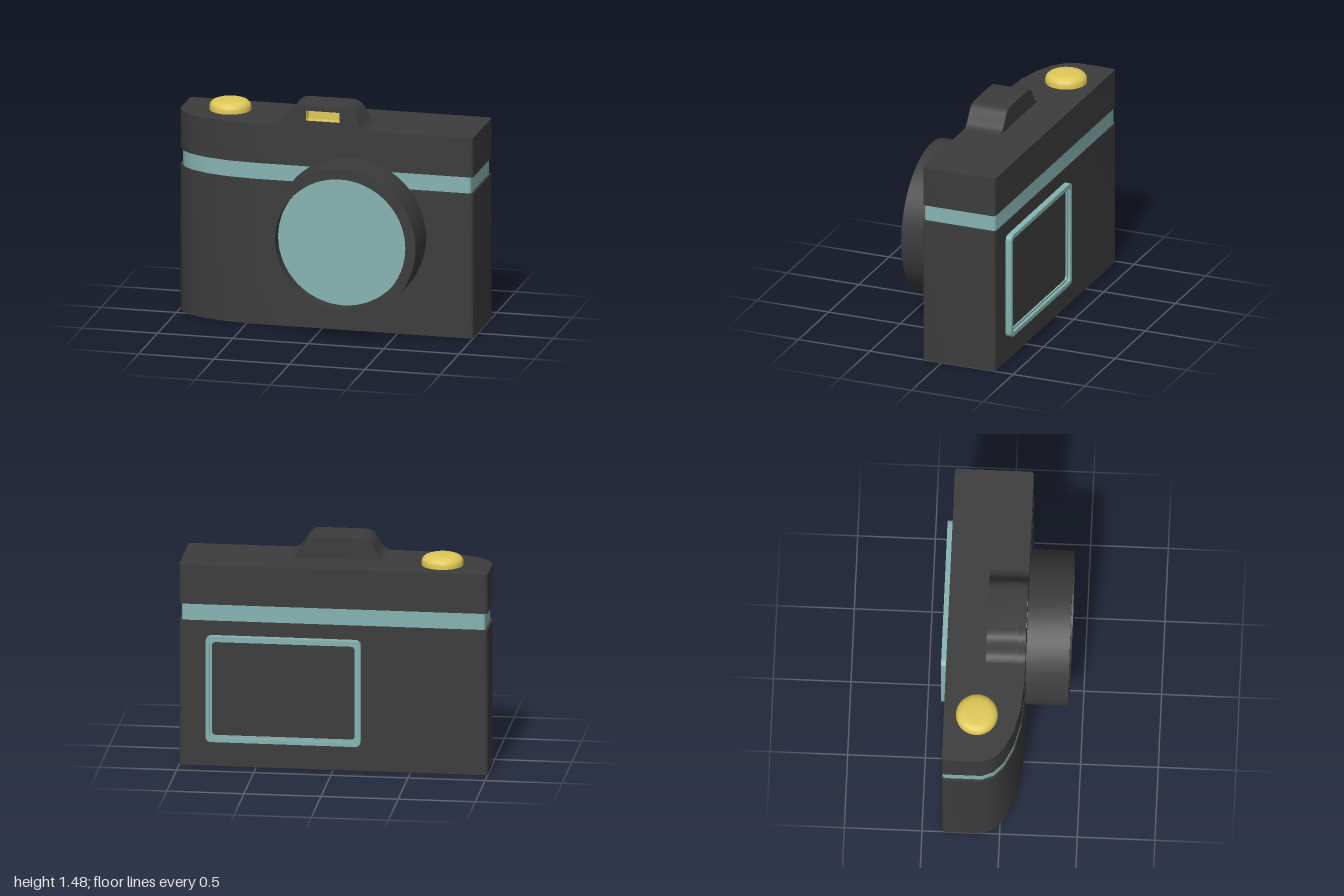
import * as THREE from 'three';
import { toCreasedNormals } from 'three/addons/utils/BufferGeometryUtils.js';

const dark = new THREE.MeshStandardMaterial({ color: 0x3c3c3c });
const teal = new THREE.MeshStandardMaterial({ color: 0x86b4b2 });
const gold = new THREE.MeshStandardMaterial({ color: 0xe0c858 });

function add(parent, name, geometry, material, x = 0, y = 0, z = 0) {
  const mesh = new THREE.Mesh(geometry, material);
  mesh.name = name;
  mesh.position.set(x, y, z);
  parent.add(mesh);
  return mesh;
}

function extrude(shape, depth) {
  const g = new THREE.ExtrudeGeometry(shape, { depth, bevelEnabled: false, curveSegments: 6 });
  return toCreasedNormals(g, 0.6);
}

// Rounded rectangle centred on the origin
function roundRect(w, h, r, Type = THREE.Shape) {
  const x = w / 2, y = h / 2, s = new Type();
  s.moveTo(-x + r, -y);
  s.lineTo(x - r, -y);
  s.quadraticCurveTo(x, -y, x, -y + r);
  s.lineTo(x, y - r);
  s.quadraticCurveTo(x, y, x - r, y);
  s.lineTo(-x + r, y);
  s.quadraticCurveTo(-x, y, -x, y - r);
  s.lineTo(-x, -y + r);
  s.quadraticCurveTo(-x, -y, -x + r, -y);
  return s;
}

// Plan of the case, seen from above, with the swept grip corner; scaled about its middle
function casePlan(scale) {
  const midZ = -0.12, r = 0.025, back = -0.373, front = 0.135;
  const X = (x) => x * scale;
  const Y = (z) => -(midZ + (z - midZ) * scale);
  const s = new THREE.Shape();
  s.moveTo(X(-0.45), Y(front));
  s.lineTo(X(1 - r), Y(front));
  s.quadraticCurveTo(X(1), Y(front), X(1), Y(front - r));
  s.lineTo(X(1), Y(back + r));
  s.quadraticCurveTo(X(1), Y(back), X(1 - r), Y(back));
  s.lineTo(X(-1 + r), Y(back));
  s.quadraticCurveTo(X(-1), Y(back), X(-1), Y(back + r));
  for (const [x, z] of [[-1, -0.115], [-0.97, -0.04], [-0.9, 0.025], [-0.78, 0.083], [-0.62, 0.122]])
    s.lineTo(X(x), Y(z));
  s.closePath();
  return s;
}

function caseSlab(y0, y1, scale) {
  return extrude(casePlan(scale), y1 - y0).rotateX(-Math.PI / 2).translate(0, y0, 0);
}

// Flared hump silhouette
function humpShape() {
  const s = new THREE.Shape(), y0 = 1.338, y1 = 1.477;
  s.moveTo(-0.33, y0);
  s.lineTo(0.33, y0);
  s.bezierCurveTo(0.28, y0 + 0.004, 0.265, 1.36, 0.245, 1.39);
  s.bezierCurveTo(0.215, 1.44, 0.2, y1, 0.14, y1);
  s.lineTo(-0.14, y1);
  s.bezierCurveTo(-0.2, y1, -0.215, 1.44, -0.245, 1.39);
  s.bezierCurveTo(-0.265, 1.36, -0.28, y0 + 0.004, -0.33, y0);
  return s;
}

export function createModel() {
  const model = new THREE.Group();

  // Case in three layers, the middle band slightly inset
  add(model, 'lowerBody', caseSlab(0, 0.97, 1), dark);
  add(model, 'band', caseSlab(0.97, 1.078, 0.985), teal);
  add(model, 'topCover', caseSlab(1.078, 1.34, 1), dark);

  // Viewfinder hump: solid rear, front with a window opening
  const hump = new THREE.Group();
  hump.name = 'viewfinder';
  const win = { x: 0.005, y: 1.417, w: 0.22, h: 0.066 };
  add(hump, 'humpRear', extrude(humpShape(), 0.205), dark, 0, 0, -0.118);
  const frontShape = humpShape();
  const hole = new THREE.Path();
  const hx = win.w / 2, hy = win.h / 2;
  hole.setFromPoints([[-hx, -hy], [-hx, hy], [hx, hy], [hx, -hy], [-hx, -hy]]
    .map(([x, y]) => new THREE.Vector2(win.x + x, win.y + y)));
  frontShape.holes.push(hole);
  add(hump, 'humpFront', extrude(frontShape, 0.048), dark, 0, 0, 0.087);

  // Window lining and pane
  const lining = roundRect(win.w, win.h, 0.001);
  lining.holes.push(roundRect(win.w - 0.006, win.h - 0.006, 0.001, THREE.Path));
  add(hump, 'windowLining', extrude(lining, 0.048), gold, win.x, win.y, 0.0875);
  add(hump, 'windowPane', new THREE.BoxGeometry(win.w, win.h, 0.006), gold, win.x, win.y, 0.09);
  model.add(hump);

  // Shutter button with a rounded top
  const buttonProfile = [[0.135, 0], [0.135, 0.025], [0.13, 0.043], [0.115, 0.058], [0.09, 0.067], [0.055, 0.07], [0, 0.071]]
    .map(([r, y]) => new THREE.Vector2(r, y));
  add(model, 'shutterButton', new THREE.LatheGeometry(buttonProfile, 40), gold, -0.682, 1.338, -0.16);

  // Lens barrel, open at the front, with recessed glass
  const lens = new THREE.Group();
  lens.name = 'lens';
  lens.position.set(0.19, 0.655, 0.13);
  const barrelProfile = [[0.5, 0], [0.5, 0.283], [0.432, 0.283], [0.432, 0.19]]
    .map(([r, y]) => new THREE.Vector2(r, y));
  const barrel = toCreasedNormals(new THREE.LatheGeometry(barrelProfile, 64).toNonIndexed(), 0.6);
  add(lens, 'lensBarrel', barrel.rotateX(Math.PI / 2), dark);
  add(lens, 'lensGlass', new THREE.CircleGeometry(0.433, 32), teal, 0, 0, 0.203);
  model.add(lens);

  // Rear screen and its stepped frame
  const screen = new THREE.Group();
  screen.name = 'rearScreen';
  screen.position.set(0.322, 0.522, -0.413);
  for (const [name, w, h, rim, z] of [['screenFrame', 1.005, 0.706, 0.028, 0], ['screenInnerFrame', 0.955, 0.656, 0.016, 0.018]]) {
    const s = roundRect(w, h, 0.04);
    s.holes.push(roundRect(w - 2 * rim, h - 2 * rim, 0.025, THREE.Path));
    add(screen, name, extrude(s, 0.042 - z), teal, 0, 0, z);
  }
  add(screen, 'screenPanel', new THREE.BoxGeometry(0.93, 0.63, 0.012), dark, 0, 0, 0.036);
  model.add(screen);

  return model;
}
